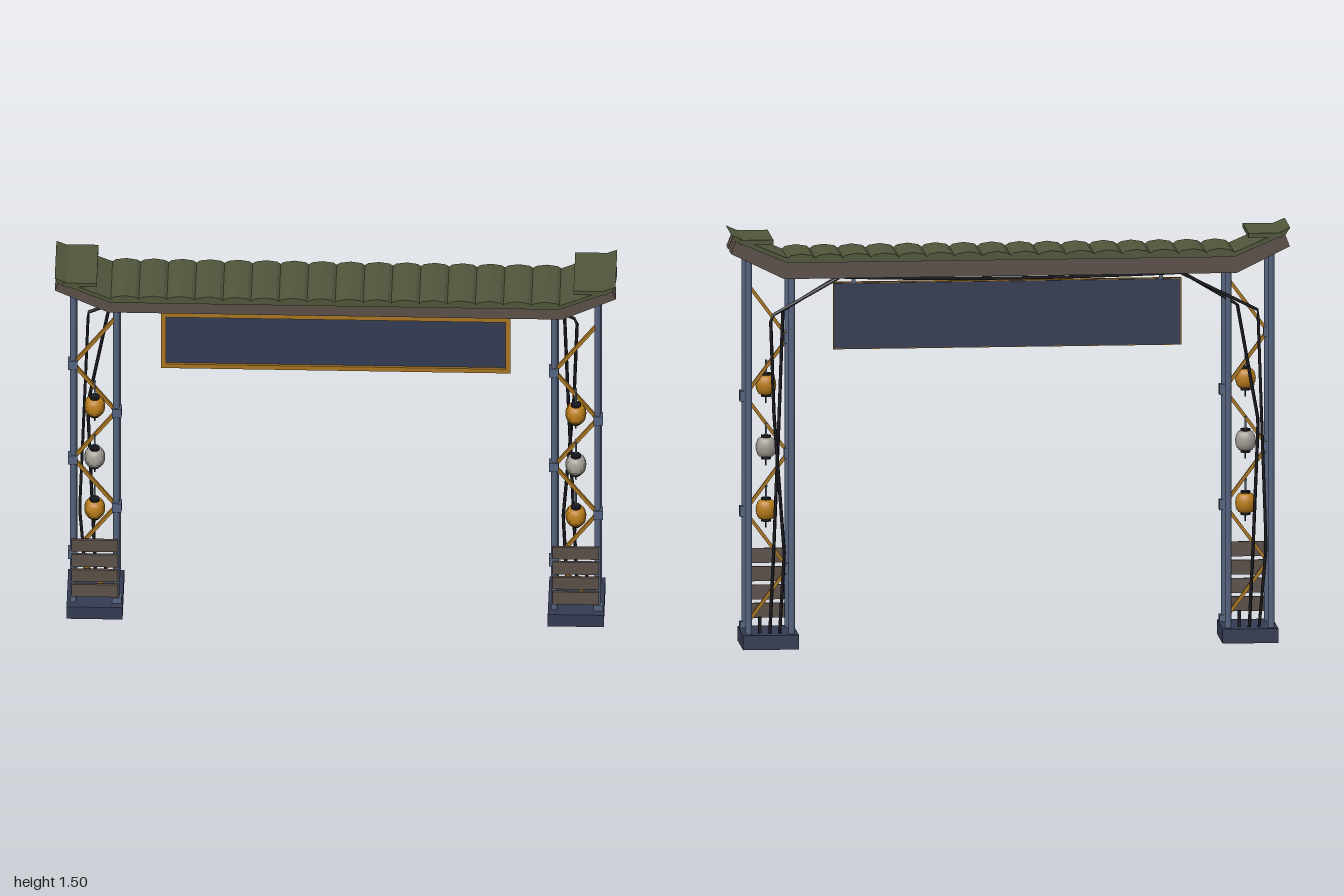
import * as THREE from 'three';

const mat = (name, color) => {
  const m = new THREE.MeshStandardMaterial({ color });
  m.name = name;
  return m;
};

export function createModel() {
  const navy = mat('navy', 0x343c53);
  const steel = mat('steel blue', 0x56647f);
  const gold = mat('gold', 0xa87522);
  const amber = mat('lantern amber', 0xba7d1c);
  const pale = mat('lantern grey', 0xa39e96);
  const wood = mat('weathered wood', 0x5c5049);
  const green = mat('roof green', 0x50563b);
  const black = mat('cable black', 0x16161b);

  const model = new THREE.Group();
  model.name = 'gateway';
  const add = (parent, name, geometry, material, x = 0, y = 0, z = 0) => {
    const m = new THREE.Mesh(geometry, material);
    m.name = name;
    m.position.set(x, y, z);
    parent.add(m);
    return m;
  };
  const box = (parent, name, material, w, h, d, x, y, z) =>
    add(parent, name, new THREE.BoxGeometry(w, h, d), material, x, y, z);

  // Profile in x/y pushed from z0 to z1
  const extrude = (parent, name, material, pts, z0, z1) => {
    const shape = new THREE.Shape(pts.map(([x, y]) => new THREE.Vector2(x, y)));
    const g = new THREE.ExtrudeGeometry(shape, { depth: z1 - z0, bevelEnabled: false });
    return add(parent, name, g, material, 0, 0, z0);
  };

  // Straight bar between two points
  const bar = (parent, name, material, a, b, w, d) => {
    const p = new THREE.Vector3(...a), q = new THREE.Vector3(...b);
    const m = box(parent, name, material, w, p.distanceTo(q), d, 0, 0, 0);
    m.position.copy(p).add(q).multiplyScalar(0.5);
    m.quaternion.setFromUnitVectors(new THREE.Vector3(0, 1, 0), q.sub(p).normalize());
    return m;
  };

  // Cable through points, with sharp bends
  const cable = (parent, name, pts, r = 0.006) => {
    const path = new THREE.CurvePath();
    const v = pts.map((p) => new THREE.Vector3(...p));
    for (let i = 1; i < v.length; i++) path.add(new THREE.LineCurve3(v[i - 1], v[i]));
    add(parent, name, new THREE.TubeGeometry(path, 48, r, 6), black);
  };

  // Ribbed lantern profile
  const ribs = [new THREE.Vector2(0.016, -0.037)];
  const ribCount = 9;
  for (let i = 0; i <= ribCount * 2; i++) {
    const t = i / (ribCount * 2) * 2 - 1;
    const r = 0.018 + 0.02 * Math.sqrt(Math.max(0, 1 - t * t)) - (i % 2 ? 0 : 0.003);
    ribs.push(new THREE.Vector2(r, t * 0.036));
  }
  ribs.push(new THREE.Vector2(0.016, 0.037));
  const lanternGeometry = new THREE.LatheGeometry(ribs, 14);

  const makeLantern = (parent, y, material) => {
    const g = new THREE.Group();
    g.name = 'lantern';
    g.position.set(0, y, 0.088);
    parent.add(g);
    add(g, 'lanternBody', lanternGeometry, material);
    for (const s of [-1, 1]) {
      add(g, 'lanternCap', new THREE.CylinderGeometry(0.018, 0.018, 0.008, 12), black, 0, s * 0.039, 0);
    }
    box(g, 'tassel', black, 0.005, 0.026, 0.005, 0, -0.053, 0);
    box(g, 'hanger', steel, 0.006, 0.05, 0.006, 0, 0.065, -0.006);
    box(g, 'hook', steel, 0.006, 0.006, 0.028, 0, 0.088, -0.015);
  };

  // Towers: base, four posts, zigzag lattice, planks and lanterns
  for (const side of [-1, 1]) {
    const t = new THREE.Group();
    t.name = side < 0 ? 'rightTower' : 'leftTower';
    t.position.x = side * 0.858;
    model.add(t);
    box(t, 'base', navy, 0.2, 0.052, 0.23, 0, 0.026, -0.005);
    for (const x of [-0.077, 0.077]) {
      for (const z of [0.07, -0.085]) {
        const h = x * side > 0 ? 1.36 : 1.31;
        add(t, 'post', new THREE.CylinderGeometry(0.0115, 0.0115, h, 8), steel, x, 0.05 + h / 2, z);
      }
    }
    for (let i = 0; i < 6; i++) {
      const s = i % 2 ? -1 : 1;
      const y = 1.305 - i * 0.208;
      bar(t, 'latticeBar', gold, [s * 0.077, y, 0.07], [-s * 0.077, y - 0.208, 0.07], 0.012, 0.012);
      box(t, 'clamp', steel, 0.034, 0.038, 0.03, -s * 0.079, y - 0.208, 0.07);
    }
    for (let i = 0; i < 4; i++) {
      const p = box(t, 'plank', wood, 0.166, 0.053, 0.009, 0, 0.111 + i * 0.066, 0.087);
      p.rotation.x = i % 2 ? 0.03 : -0.03;
    }
    [0.925, 0.7, 0.475].forEach((y, i) => makeLantern(t, y, i === 1 ? pale : amber));

    // Cables at the back of the tower
    const k = side < 0 ? -0.028 : 0;
    const reach = -side * 0.245;
    cable(t, 'cable', [[-0.035, 0.05, -0.07], [-0.05 + k * 0.3, 0.34, -0.09],
      [k - 0.012, 0.85, -0.1], [k, 1.2, -0.1], [reach, 1.335, -0.09]]);
    cable(t, 'cable', [[0, 0.05, -0.07], [-0.012, 0.34, -0.085],
      [-0.03, 0.8, -0.09], [side * -0.045, 1.22, -0.09], [reach, 1.338, -0.075]]);
    box(t, 'cableStub', black, 0.012, 0.06, 0.012, 0.035, 0.08, -0.06);
  }

  // Twin beams with upturned ends, joined by a top board
  const beam = [[-1, 1.428], [-0.81, 1.335], [0.81, 1.335], [1, 1.428],
    [0.982, 1.475], [0.8, 1.395], [-0.8, 1.395], [-0.982, 1.475]];
  extrude(model, 'frontBeam', wood, beam, 0.017, 0.085);
  extrude(model, 'backBeam', wood, beam, -0.105, -0.03);
  extrude(model, 'topBoard', wood, [[-0.988, 1.458], [-0.803, 1.378], [0.803, 1.378], [0.988, 1.458],
    [0.982, 1.474], [0.8, 1.394], [-0.8, 1.394], [-0.982, 1.474]], -0.1, 0.08);

  // Roof with a row of shallow arched tiles and flared ends
  const roof = [[-0.985, 1.475], [-0.8, 1.395], [0.8, 1.395], [0.985, 1.475], [1, 1.498], [0.8, 1.412]];
  const tiles = 16, step = 1.6 / tiles;
  for (let i = 0; i < tiles; i++) {
    const x = 0.8 - i * step;
    roof.push([x - step * 0.12, 1.421], [x - step * 0.5, 1.427], [x - step * 0.88, 1.421], [x - step, 1.412]);
  }
  roof.push([-1, 1.498]);
  extrude(model, 'roof', green, roof, -0.12, 0.108);
  for (const s of [-1, 1]) {
    box(model, 'roofEndSlab', green, 0.12, 0.016, 0.235, s * 0.91, 1.472, -0.007);
  }

  // Sign board with a raised frame
  const sign = new THREE.Group();
  sign.name = 'sign';
  sign.position.set(0, 1.18, 0.025);
  model.add(sign);
  box(sign, 'signPanel', navy, 1.24, 0.236, 0.012, 0, 0, -0.003);
  for (const s of [-1, 1]) {
    box(sign, 'frameRail', gold, 1.246, 0.018, 0.016, 0, s * 0.112, 0.004);
    box(sign, 'frameStile', gold, 0.018, 0.24, 0.016, s * 0.614, 0, 0.004);
    box(sign, 'signHanger', steel, 0.014, 0.06, 0.012, s * 0.55, 0.145, 0);
  }

  // Cable sagging under the beams
  const sag = [];
  for (let i = 0; i <= 12; i++) {
    const x = -0.613 + i * 1.226 / 12;
    sag.push([x, 1.325 + 0.012 * (x / 0.613) ** 2, -0.088]);
  }
  cable(model, 'spanCable', sag);

  return model;
}
